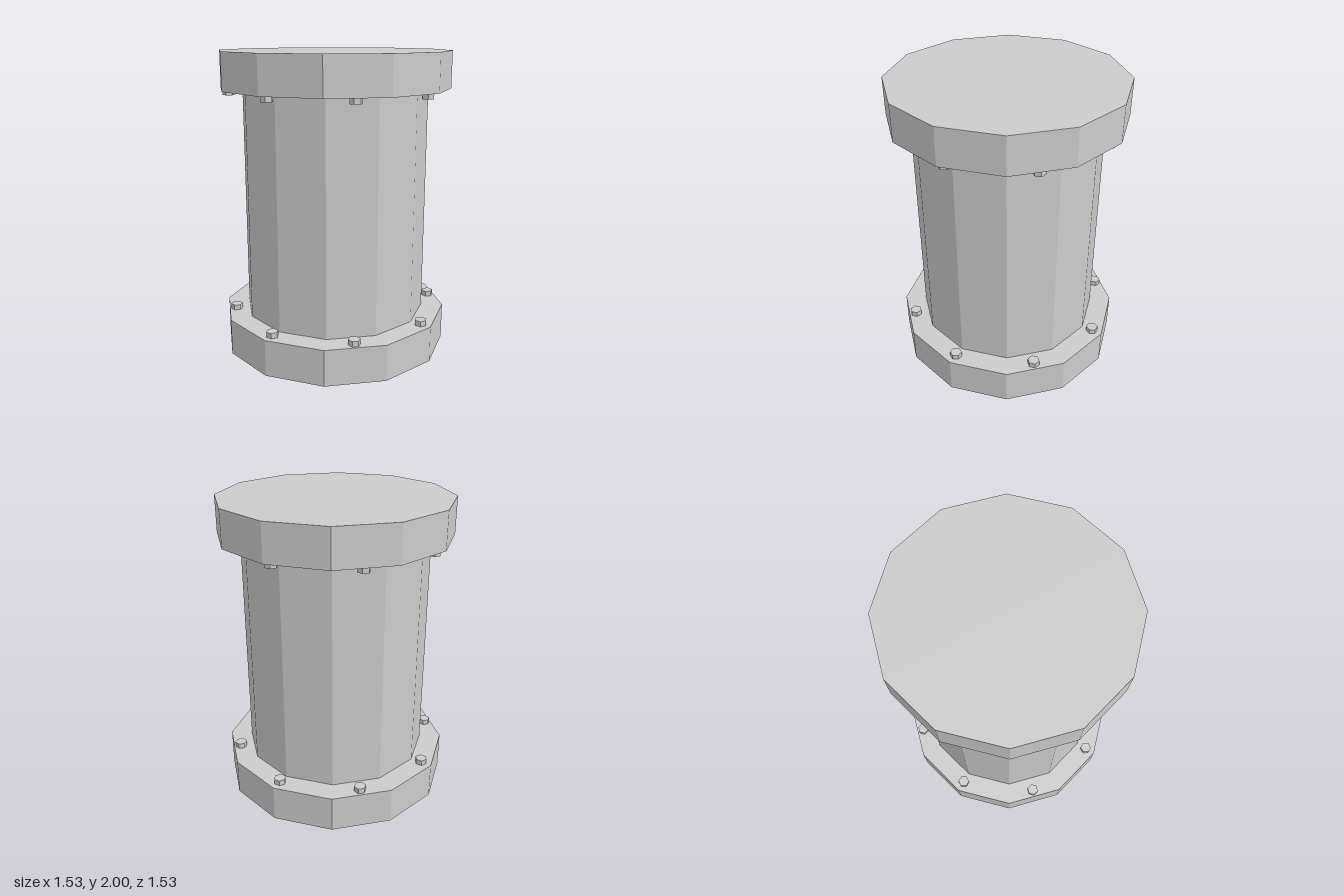
import * as THREE from 'three';

export function createModel() {
  const model = new THREE.Group();
  model.name = 'flangedPipe';
  const material = new THREE.MeshStandardMaterial({ color: 0xcccccc, flatShading: true });

  const flangeHeight = 0.243, flangeRadius = 0.765;
  const boltHeight = 0.036, boltRing = 0.69;

  function addPrism(name, radius, height, sides, x, y, z, turn = 0) {
    const mesh = new THREE.Mesh(new THREE.CylinderGeometry(radius, radius, height, sides), material);
    mesh.name = name;
    mesh.position.set(x, y, z);
    mesh.rotation.y = turn;
    model.add(mesh);
  }

  // Twelve-sided body between the flanges
  addPrism('pipeBody', 0.617, 2 - 2 * flangeHeight, 12, 0, 1, 0);

  // Solid end flanges, each with a ring of eight hex bolts on its inner face
  for (const [end, s] of [['bottom', -1], ['top', 1]]) {
    addPrism(end + 'Flange', flangeRadius, flangeHeight, 12, 0, 1 + s * (1 - flangeHeight / 2), 0);
    const boltY = 1 + s * (1 - flangeHeight - boltHeight / 2);
    for (let i = 0; i < 8; i++) {
      const a = (i * Math.PI) / 4;
      // corners point along x, diagonal bolts are turned by 45 degrees
      const turn = Math.PI / 2 + (i % 2) * (Math.PI / 4);
      addPrism(end + 'Bolt' + (i + 1), 0.04, boltHeight, 6,
        boltRing * Math.sin(a), boltY, boltRing * Math.cos(a), turn);
    }
  }
  return model;
}
